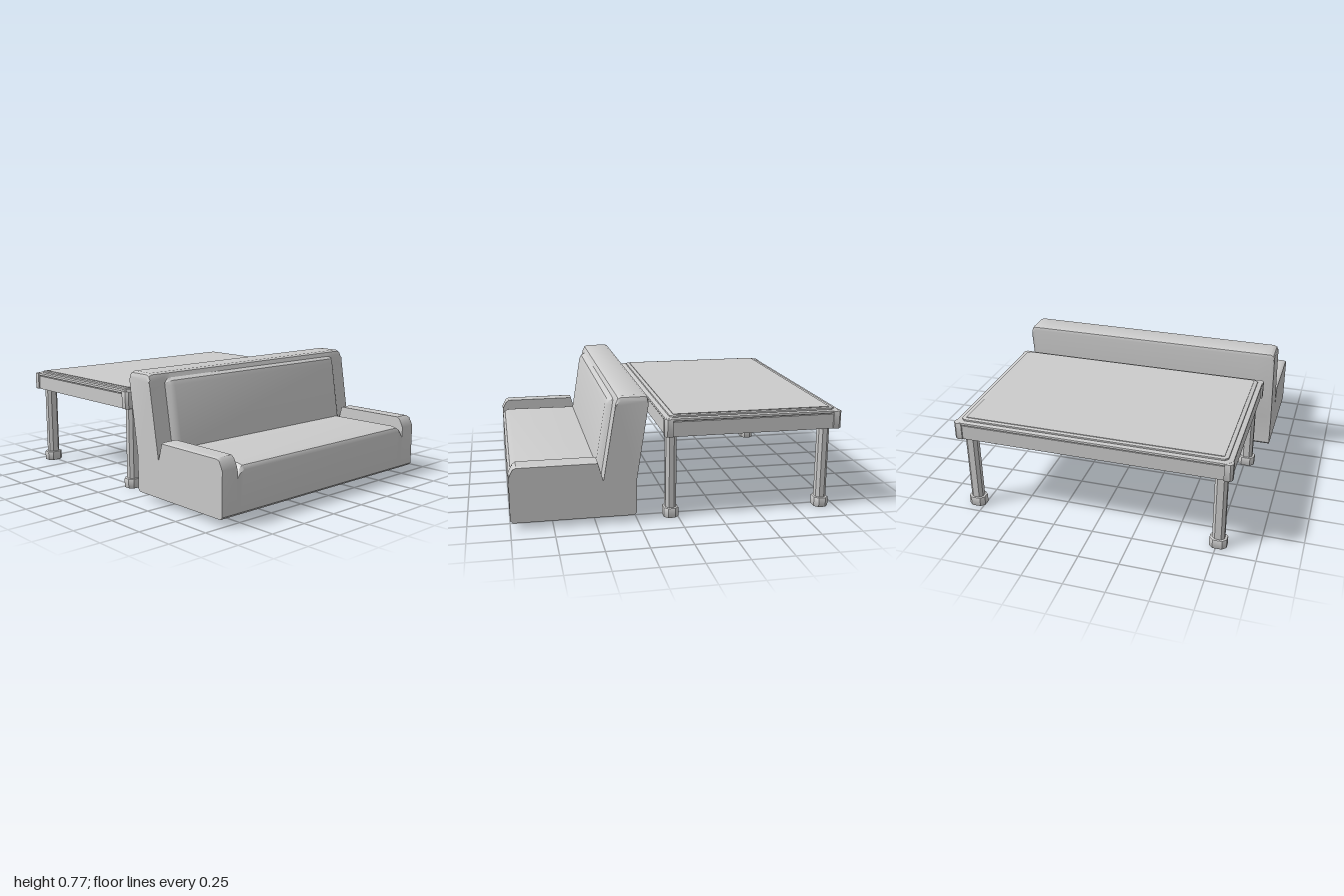
import * as THREE from 'three';
import { toCreasedNormals } from 'three/addons/utils/BufferGeometryUtils.js';

const mat = new THREE.MeshStandardMaterial({ color: 0xcccccc });
const shellMat = new THREE.MeshStandardMaterial({ color: 0xcccccc, side: THREE.DoubleSide });

// Rectangle with cut corners, as a list of points
function cutRect(w, d, c) {
  const x = w / 2, y = d / 2;
  return [[x - c, -y], [x, c - y], [x, y - c], [x - c, y], [c - x, y], [-x, y - c], [-x, c - y], [c - x, -y]]
    .map(p => new THREE.Vector2(...p));
}

// Upright prism between two heights, optionally bevelled and with a hole
function slab(name, outline, x, z, y0, y1, bevel = 0, hole = null) {
  const shape = new THREE.Shape(outline);
  if (hole) shape.holes.push(new THREE.Path(hole));
  const geo = new THREE.ExtrudeGeometry(shape, {
    depth: y1 - y0 - 2 * bevel, bevelEnabled: bevel > 0,
    bevelSize: bevel, bevelThickness: bevel, bevelOffset: -bevel, bevelSegments: 2,
  });
  geo.rotateX(-Math.PI / 2);
  const mesh = new THREE.Mesh(toCreasedNormals(geo, 0.5), mat);
  mesh.position.set(x, y0 + bevel, z);
  mesh.name = name;
  return mesh;
}

// Sofa: one shell swept sideways through [z, y] sections, open underneath
function createSofa() {
  const foot = [[0.985, 0.04], [1, 0.055]];
  const wing = [[0.453, 0.263], [0.381, 0.69], [0.379, 0.705], [0.376, 0.72]];
  const back = [[0.373, 0.738], [0.363, 0.758], [0.346, 0.767], [0.206, 0.767], [0.191, 0.76],
    [0.185, 0.74], [0.255, 0.26], [0.255, 0.055], [0.27, 0.04]];
  const arm = [...foot, [1, 0.315], [0.975, 0.365], [0.955, 0.38], [0.485, 0.38], ...wing, ...back];
  const groove = [...foot, [1, 0.25], [0.99, 0.26], [0.95, 0.263], [0.485, 0.263], ...wing, ...back];
  const seat = [...foot, [1, 0.295], [0.985, 0.317], [0.95, 0.325], [0.485, 0.322],
    [0.478, 0.322], [0.418, 0.69], [0.405, 0.718], [0.376, 0.732], ...back];
  const mix = (a, b, t) => a.map((p, i) => p.map((v, k) => v + (b[i][k] - v) * t));
  // Outer ends are lowered along the top to round the corners
  const drop = (s, h) => s.map(([z, y]) => [z, y > 0.73 ? y - h : y === 0.38 ? y - h / 4 : y]);

  // Distance from the middle, and the section there
  const half = [[0.865, drop(arm, 0.028)], [0.857, drop(arm, 0.009)], [0.838, arm], [0.755, arm],
    [0.753, groove], [0.73, mix(groove, seat, 0.68)], [0.705, seat]];
  const stations = [...half.map(([x, s]) => [-x, s]), ...half.map(([x, s]) => [x, s]).reverse()];

  const n = arm.length, pos = [], index = [];
  for (const [x, section] of stations)
    for (const [z, y] of section) pos.push(x - 0.015, y, z);
  for (let i = 0; i < stations.length - 1; i++)
    for (let j = 0; j < n - 1; j++) {
      const a = i * n + j, b = a + n;
      index.push(a, b, b + 1, a, b + 1, a + 1);
    }
  // End panels
  const last = (stations.length - 1) * n;
  const contour = half[0][1].map(p => new THREE.Vector2(...p));
  for (const [a, b, c] of THREE.ShapeUtils.triangulateShape(contour, []))
    index.push(a, b, c, last + a, last + c, last + b);

  const geo = new THREE.BufferGeometry();
  geo.setAttribute('position', new THREE.Float32BufferAttribute(pos, 3));
  geo.setIndex(index);
  const mesh = new THREE.Mesh(toCreasedNormals(geo, 0.6), shellMat);
  mesh.name = 'sofa';
  return mesh;
}

function createTable() {
  const table = new THREE.Group();
  table.name = 'table';
  const W = 1.7, D = 1.09, cx = 0.015, cz = -0.455;
  const inset = (d, c) => cutRect(W - 2 * d, D - 2 * d, c);

  // Top in three stepped layers over a hollow apron
  table.add(
    slab('apron', inset(0.01, 0.035), cx, cz, 0.51, 0.6, 0, inset(0.04, 0.03)),
    slab('tableTopUnderside', inset(0.025, 0.03), cx, cz, 0.595, 0.606),
    slab('tableTopRim', inset(0.005, 0.035), cx, cz, 0.605, 0.621, 0.005),
    slab('tableTopStep', inset(0.035, 0.02), cx, cz, 0.62, 0.632, 0.004),
    slab('tableTopPanel', inset(0.06, 0.002), cx, cz, 0.63, 0.636),
  );

  for (const sx of [-1, 1])
    for (const sz of [-1, 1]) {
      // Corner block with its outer corner cut off
      const block = [[0, 0], [0, -0.05], [-0.035, -0.05], [-0.05, -0.035], [-0.05, 0]]
        .map(([x, z]) => new THREE.Vector2(-sx * x, sz * z));
      table.add(slab('cornerBlock', block, cx + sx * (W / 2 - 0.05), cz + sz * (D / 2 - 0.05), 0.51, 0.619, 0.003));
      // Leg and wider foot
      const x = 0.017 + sx * 0.778, z = -0.434 + sz * 0.477;
      table.add(slab('leg', cutRect(0.075, 0.065, 0.018), x, z, 0.05, 0.6));
      table.add(slab('foot', cutRect(0.106, 0.09, 0.024), x, z, 0, 0.062, 0.006));
    }
  return table;
}

export function createModel() {
  const model = new THREE.Group();
  model.name = 'sofaAndTable';
  model.add(createSofa(), createTable());
  return model;
}
